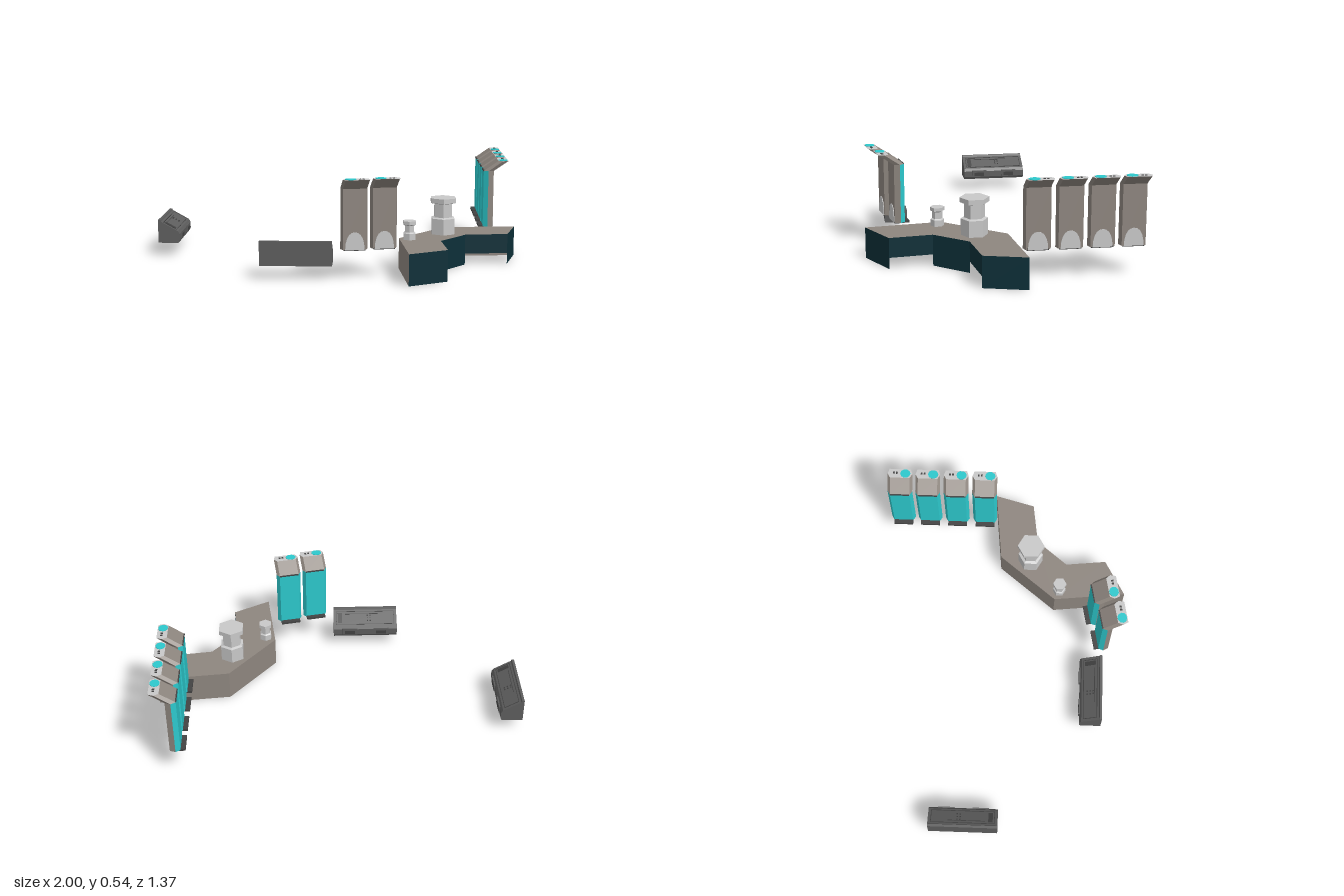
import * as THREE from 'three';

const mat = (name, color, side = THREE.FrontSide) => {
  const m = new THREE.MeshStandardMaterial({ color, flatShading: true, side });
  m.name = name;
  return m;
};
const taupe = mat('taupe', 0x8e867f, THREE.DoubleSide);
const darkTeal = mat('dark teal', 0x0d2f38, THREE.DoubleSide);
const teal = mat('bright teal', 0x2cc8cc);
const lightGrey = mat('light grey', 0xc8c8c8);
const consoleGrey = mat('console grey', 0x5e5e5e);
const charcoal = mat('charcoal', 0x434343);

function add(parent, name, geo, material, x = 0, y = 0, z = 0) {
  const m = new THREE.Mesh(geo, material);
  m.name = name;
  m.position.set(x, y, z);
  parent.add(m);
  return m;
}

const box = (parent, name, material, w, h, d, x, y, z) =>
  add(parent, name, new THREE.BoxGeometry(w, h, d), material, x, y, z);

// Flat faces given as convex corner loops, split into fans
function faces(loops) {
  const pos = [];
  for (const l of loops)
    for (let i = 1; i < l.length - 1; i++) pos.push(...l[0], ...l[i], ...l[i + 1]);
  const g = new THREE.BufferGeometry();
  g.setAttribute('position', new THREE.Float32BufferAttribute(pos, 3));
  g.computeVertexNormals();
  return g;
}

// Bent hollow counter, open underneath, with two knee spaces on the inner side
function counter() {
  const g = new THREE.Group();
  g.name = 'counter';
  const H = 0.165, KNEE = 0.06;
  const plan = [[0.995, -0.075], [0.6, -0.035], [0.345, 0.28], [0.39, 0.68],
    [0.59, 0.57], [0.565, 0.345], [0.705, 0.175], [0.935, 0.145]];
  const shape = new THREE.Shape(plan.map(([x, z]) => new THREE.Vector2(x, -z)));
  add(g, 'counterTop', new THREE.ShapeGeometry(shape).rotateX(-Math.PI / 2), taupe, 0, H, 0);
  const wall = (i) => {
    const [ax, az] = plan[i], [bx, bz] = plan[(i + 1) % 8];
    const y = i === 4 || i === 6 ? KNEE : 0;
    return [[ax, y, az], [bx, y, bz], [bx, H, bz], [ax, H, az]];
  };
  add(g, 'outerWalls', faces([0, 1, 2].map(wall)), taupe);
  add(g, 'innerWalls', faces([3, 4, 5, 6, 7].map(wall)), darkTeal);
  return g;
}

// Six-sided pedestal: base, shaft, cap, with short bevels
function pedestal(x, z, levels, radii) {
  const profile = [new THREE.Vector2(0, 0.165)];
  const [yBase, yCap, yTop] = levels, [rBase, rShaft, rCap] = radii;
  for (const [r, y] of [[rBase, 0.165], [rBase, yBase - 0.006], [rShaft, yBase],
    [rShaft, yCap - 0.006], [rCap, yCap], [rCap, yTop], [0, yTop]])
    profile.push(new THREE.Vector2(r, y));
  const m = new THREE.Mesh(new THREE.LatheGeometry(profile, 6).toNonIndexed(), lightGrey);
  m.geometry.computeVertexNormals();
  m.name = 'pedestal';
  m.position.set(x, 0, z);
  return m;
}

// Upright panel with a leaning head, facing local +x
function panel(x, z, turn) {
  const g = new THREE.Group();
  g.name = 'uprightPanel';
  const plan = [[0, 0.06], [0, -0.06], [-0.03, -0.07], [-0.055, -0.055], [-0.055, 0.055], [-0.03, 0.07]];
  const ring = (y, dx) => plan.map(([px, pz]) => [px + dx, y, pz]);
  const foot = ring(0.163, 0), neck = ring(0.477, 0), tip = ring(0.533, 0.08);
  const sides = (a, b, ids) => faces(ids.map((i) => {
    const j = (i + 1) % 6;
    return [a[i], a[j], b[j], b[i]];
  }));
  add(g, 'frontFace', sides(foot, neck, [0, 1, 5]), taupe);
  add(g, 'backFace', sides(foot, neck, [2, 3, 4]), teal);
  add(g, 'head', sides(neck, tip, [0, 1, 2, 3, 4, 5]), taupe);
  add(g, 'headTop', faces([tip]), lightGrey);
  box(g, 'foot', charcoal, 0.08, 0.012, 0.11, -0.04, 0.164, 0);
  // arched plate at the bottom of the front face
  const arch = new THREE.Shape();
  arch.moveTo(-0.05, 0);
  arch.lineTo(0.05, 0);
  arch.bezierCurveTo(0.05, 0.06, 0.03, 0.092, 0, 0.092);
  arch.bezierCurveTo(-0.03, 0.092, -0.05, 0.06, -0.05, 0);
  const plate = new THREE.ExtrudeGeometry(arch, { depth: 0.003, bevelEnabled: false, curveSegments: 5 });
  add(g, 'archPlate', plate.rotateY(Math.PI / 2), lightGrey, 0, 0.162, 0);
  // lamp and small marks on the head
  const lamp = new THREE.CylinderGeometry(0.029, 0.029, 0.003, 10);
  add(g, 'lamp', lamp, teal, 0.052, 0.534, 0.03).scale.x = 0.9;
  for (const dz of [-0.035, -0.018])
    box(g, 'headMark', charcoal, 0.012, 0.003, 0.01, 0.055, 0.534, dz);
  // dark seam across the back of the head
  box(g, 'headSeam', charcoal, 0.006, 0.006, 0.108, -0.054, 0.477, 0);
  g.position.set(x, 0, z);
  g.rotation.y = turn;
  return g;
}

// Sloped control desk facing local +x, 0.375 long
function desk(x, z, turn) {
  const g = new THREE.Group();
  g.name = 'controlDesk';
  const L = 0.375;
  const profile = [[-0.063, 0.07], [0.05, 0.07], [0.058, 0.085], [0.058, 0.12],
    [0.048, 0.137], [-0.046, 0.19], [-0.05, 0.2], [-0.063, 0.2]];
  const shape = new THREE.Shape(profile.map(([a, b]) => new THREE.Vector2(a, b)));
  add(g, 'deskBody', new THREE.ExtrudeGeometry(shape, { depth: L, bevelEnabled: false }),
    consoleGrey, 0, 0, -L / 2);
  // fittings lying on the slope
  const slope = new THREE.Group();
  slope.name = 'deskTopFittings';
  slope.position.set(0.001, 0.1635, 0);
  slope.rotation.z = -Math.atan2(0.053, 0.094);
  g.add(slope);
  for (const s of [-1, 1]) {
    box(slope, 'trimLine', charcoal, 0.003, 0.004, 0.345, s * 0.042, 0, 0);
    box(slope, 'trimEnd', charcoal, 0.084, 0.004, 0.003, 0, 0, s * 0.171);
  }
  box(slope, 'sidePanel', charcoal, 0.065, 0.005, 0.024, 0, 0, 0.15);
  box(slope, 'screenEdge', charcoal, 0.003, 0.004, 0.2, -0.026, 0, 0.02);
  for (const u of [-0.018, 0, 0.018])
    for (const w of [-0.03, -0.014])
      box(slope, 'button', charcoal, 0.007, 0.007, 0.007, u, 0, w);
  // drawers and slots on the front
  for (const s of [-1, 1]) {
    box(g, 'drawer', consoleGrey, 0.008, 0.04, 0.09, 0.058, 0.105, s * 0.093);
    box(g, 'drawerInset', charcoal, 0.003, 0.022, 0.06, 0.0615, 0.101, s * 0.093);
  }
  g.position.set(x, 0, z);
  g.rotation.y = turn;
  return g;
}

export function createModel() {
  const model = new THREE.Group();
  model.name = 'controlRoom';
  model.add(counter());
  model.add(pedestal(0.585, 0.135, [0.257, 0.337, 0.362], [0.07, 0.054, 0.076]));
  model.add(pedestal(0.4, 0.305, [0.205, 0.247, 0.265], [0.036, 0.028, 0.038]));
  for (const z of [-0.138, -0.3, -0.46, -0.617]) model.add(panel(0.875, z, 0));
  for (const [x, z] of [[0.117, 0.577], [0.267, 0.532]]) model.add(panel(x, z, -1.38));
  model.add(desk(-0.937, -0.1875, 0));
  model.add(desk(-0.1875, 0.492, Math.PI / 2));
  return model;
}
